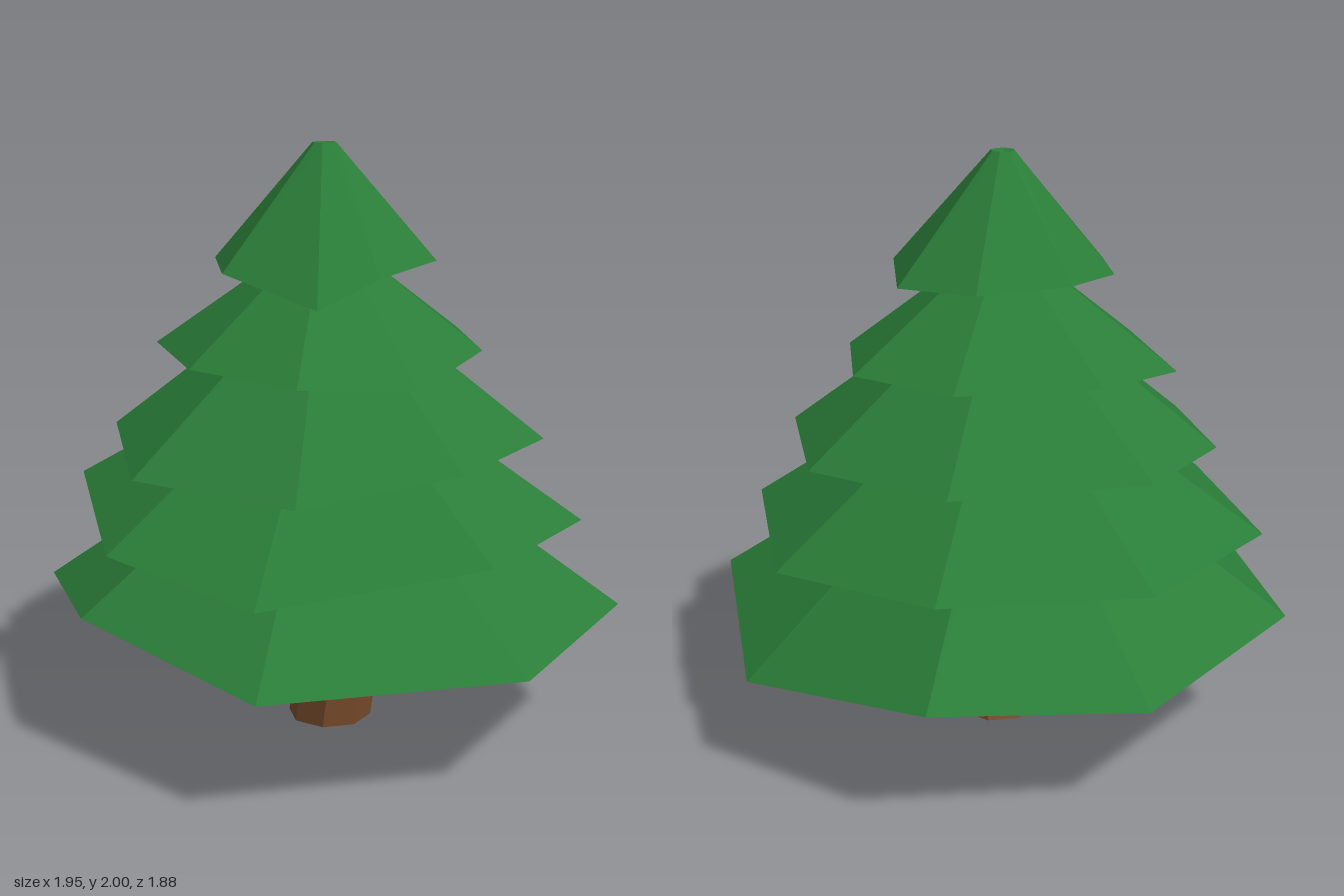
import * as THREE from 'three';

const SIDES = 8;
const AXIS = { x: -0.03, z: 0.04 };

// One skirt of branches: an uneven rim rising to a small ring, closed above and below.
// Rim corners run back, right-back, right ... seen from above, as x, y, z.
function branchTier(topY, rimCoords, material) {
  const rim = [], ring = [];
  for (let i = 0; i < SIDES; i++) {
    const a = (i / SIDES) * Math.PI * 2;
    rim.push(new THREE.Vector3().fromArray(rimCoords, i * 3));
    ring.push(new THREE.Vector3(AXIS.x + 0.04 * Math.sin(a), topY, AXIS.z - 0.04 * Math.cos(a)));
  }
  const meanY = rim.reduce((sum, p) => sum + p.y, 0) / SIDES;
  const under = new THREE.Vector3(AXIS.x, meanY + 0.02, AXIS.z);
  const cap = new THREE.Vector3(AXIS.x, topY - 0.01, AXIS.z);

  const corners = [];
  for (let i = 0; i < SIDES; i++) {
    const j = (i + 1) % SIDES;
    corners.push(rim[j], rim[i], ring[i]); // slope
    corners.push(rim[j], ring[i], ring[j]);
    corners.push(rim[i], rim[j], under); // underside
    corners.push(ring[j], ring[i], cap); // tip
  }
  const geometry = new THREE.BufferGeometry().setFromPoints(corners);
  geometry.computeVertexNormals();
  return new THREE.Mesh(geometry, material);
}

// Eight-sided trunk whose rings shift sideways with height.
function makeTrunk(material) {
  const bend = [-0.012, 0.01, -0.018, -0.03, -0.015, -0.02];
  const height = 0.54, steps = bend.length - 1;
  const geometry = new THREE.CylinderGeometry(0.145, 0.145, height, SIDES, steps);
  geometry.translate(0, height / 2, 0.035);
  const pos = geometry.attributes.position;
  for (let i = 0; i < pos.count; i++) {
    const row = Math.round((pos.getY(i) / height) * steps);
    pos.setX(i, pos.getX(i) + bend[row]);
  }
  geometry.computeVertexNormals();
  return new THREE.Mesh(geometry, material);
}

export function createModel() {
  const group = new THREE.Group();
  group.name = 'tree';
  const green = new THREE.MeshStandardMaterial({ color: 0x2a7d38, flatShading: true });
  const brown = new THREE.MeshStandardMaterial({ color: 0x80502f, flatShading: true });

  const trunk = makeTrunk(brown);
  trunk.name = 'trunk';
  group.add(trunk);

  const addTier = (name, topY, rim) => {
    const tier = branchTier(topY, rim, green);
    tier.name = name;
    group.add(tier);
  };

  // Branch tiers from the ground up
  addTier('bottomBranches', 1.13, [
    -0.02, 0.35, -0.94, 0.69, 0.46, -0.67, 0.97, 0.43, -0.02, 0.64, 0.43, 0.77,
    -0.13, 0.51, 0.94, -0.74, 0.455, 0.73, -0.98, 0.41, -0.02, -0.70, 0.45, -0.66,
  ]);
  addTier('lowerBranches', 1.32, [
    -0.02, 0.71, -0.82, 0.59, 0.75, -0.58, 0.85, 0.77, 0.03, 0.53, 0.675, 0.70,
    -0.02, 0.745, 0.90, -0.77, 0.80, 0.58, -0.87, 0.735, 0.07, -0.59, 0.74, -0.56,
  ]);
  addTier('middleBranches', 1.57, [
    -0.02, 1.035, -0.69, 0.50, 1.03, -0.48, 0.71, 1.035, 0.04, 0.52, 0.965, 0.54,
    0.0, 0.985, 0.81, -0.53, 1.03, 0.57, -0.74, 1.05, 0.15, -0.50, 1.04, -0.46,
  ]);
  addTier('upperBranches', 1.70, [
    -0.02, 1.325, -0.52, 0.34, 1.32, -0.34, 0.49, 1.26, 0.05, 0.37, 1.295, 0.43,
    -0.02, 1.31, 0.58, -0.48, 1.305, 0.43, -0.57, 1.33, 0.07, -0.36, 1.32, -0.35,
  ]);
  addTier('topBranches', 2.0, [
    -0.05, 1.60, -0.37, 0.24, 1.62, -0.22, 0.33, 1.60, 0.08, 0.31, 1.52, 0.31,
    -0.05, 1.60, 0.43, -0.30, 1.61, 0.30, -0.42, 1.63, 0.05, -0.30, 1.61, -0.23,
  ]);

  return group;
}
